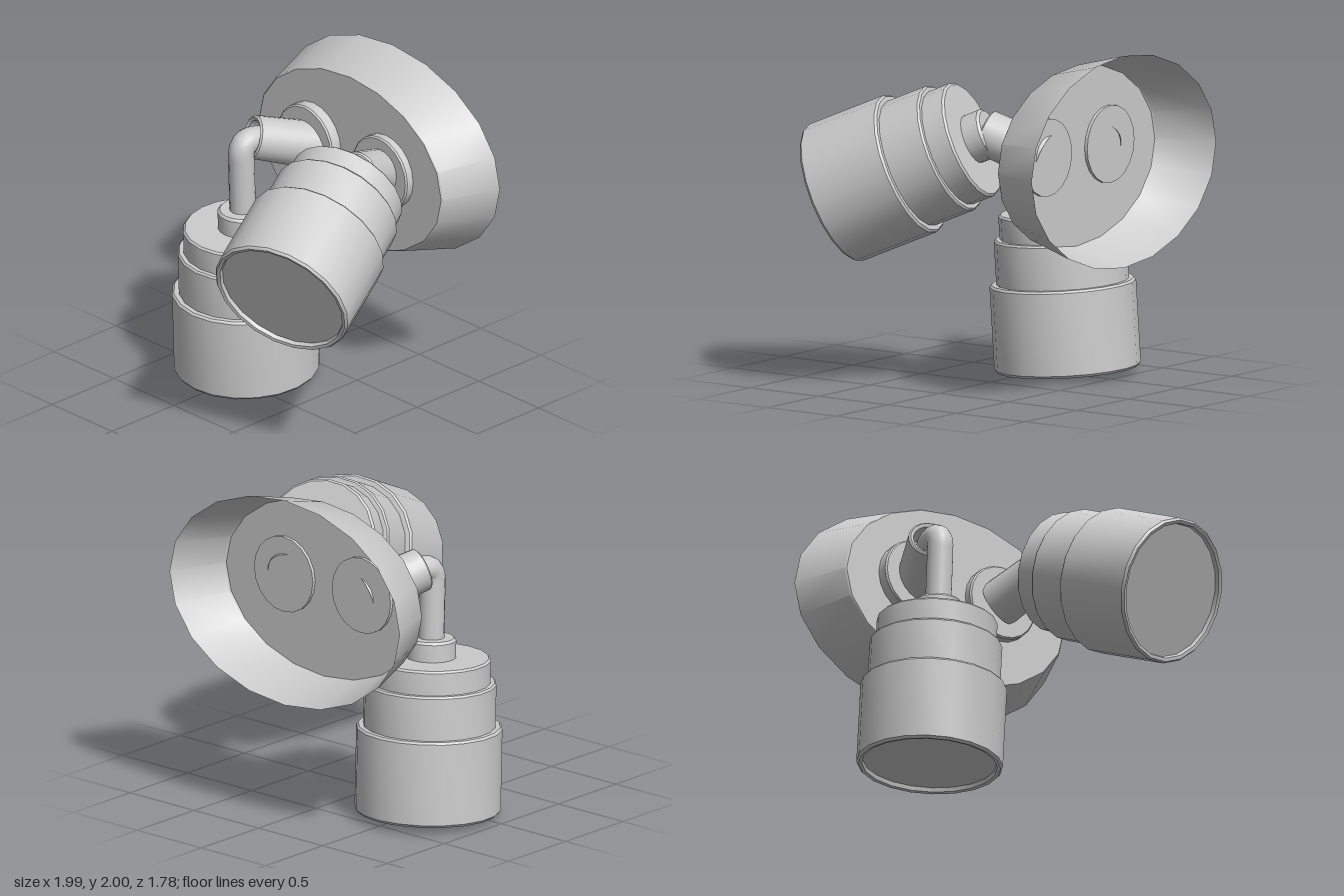
import * as THREE from 'three';
import { toCreasedNormals } from 'three/addons/utils/BufferGeometryUtils.js';

const SIDES = 20;
const grey = new THREE.MeshStandardMaterial({ color: 0xcccccc, side: THREE.DoubleSide });
const vec = (a) => new THREE.Vector3(...a);

function addMesh(parent, name, geometry) {
  const mesh = new THREE.Mesh(geometry, grey);
  mesh.name = name;
  parent.add(mesh);
  return mesh;
}

// Turned part from [radius, height] pairs, listed bottom to top
function turned(profile, sides = SIDES) {
  const points = profile.map(([r, y]) => new THREE.Vector2(r, y));
  return toCreasedNormals(new THREE.LatheGeometry(points, sides), 0.6);
}

// Put an object's origin at a point and aim its +y axis along a direction
function aim(object, position, direction) {
  object.position.copy(vec(position));
  object.quaternion.setFromUnitVectors(new THREE.Vector3(0, 1, 0), vec(direction).normalize());
}

// Stepped lamp head: origin at the front rim, +y toward the neck
function makeLamp(name) {
  const lamp = new THREE.Group();
  lamp.name = name;
  addMesh(lamp, 'lens', turned([[0, 0.03], [0.39, 0.03]]));
  addMesh(lamp, 'housing', turned([
    [0.39, 0.03], [0.395, 0.005], [0.415, 0], [0.427, 0.015],
    [0.427, 0.5], [0.415, 0.513], [0.387, 0.513],
    [0.387, 0.765], [0.377, 0.777], [0.352, 0.777],
    [0.352, 0.91], [0.34, 0.922], [0, 0.922],
  ]));
  addMesh(lamp, 'neck', turned([[0.147, 0.91], [0.147, 1.025], [0.133, 1.04], [0, 1.04]]));
  return lamp;
}

// Straight arm between two points; an open end gets a hollow lip
function addArm(parent, name, from, to, r0, r1, open) {
  const dir = vec(to).sub(vec(from));
  const len = dir.length();
  const profile = [[r0, 0], [r1, len - 0.01]];
  if (open) profile.push([r1 - 0.012, len], [r1 - 0.03, len - 0.01], [r1 - 0.035, len - 0.12], [0, len - 0.12]);
  else profile.push([r1 - 0.01, len], [0, len]);
  aim(addMesh(parent, name, turned(profile)), from, dir.toArray());
}

export function createModel() {
  const model = new THREE.Group();
  model.name = 'twinSpotlight';

  // Oval wall plate, flared and open at the back
  const plate = turned([[1, 0], [0.86, 0.337], [0.85, 0.345], [0, 0.345]]);
  plate.rotateX(Math.PI / 2).scale(0.895, 0.625, 1);
  addMesh(model, 'wallPlate', toCreasedNormals(plate, 0.6)).position.set(-0.105, 1.373, -0.89);

  // Round mounts, reaching slightly through the plate
  for (const [name, x, front] of [['rightMount', -0.412, -0.47], ['leftMount', 0.193, -0.49]]) {
    const depth = front + 0.565;
    const mount = turned([[0, 0], [0.229, 0], [0.229, depth - 0.01], [0.22, depth], [0, depth]]);
    aim(addMesh(model, name, mount), [x, 1.405, -0.565], [0, 0, 1]);
  }

  // Lamp pointing forward and down, joined straight to its arm
  const leftLamp = makeLamp('leftLamp');
  aim(leftLamp, [0.59, 1.125, 0.69], [-0.288, 0.393, -0.873]);
  model.add(leftLamp);
  addArm(model, 'leftArm', [0.18, 1.4, -0.52], [0.3, 1.535, -0.185], 0.14, 0.135, false);

  // Lamp hanging down from a rod that bends into a hollow arm
  const rightLamp = makeLamp('rightLamp');
  aim(rightLamp, [-0.555, 0.025, -0.145], [0.022, 1, 0.055]);
  model.add(rightLamp);
  addArm(model, 'rightArm', [-0.38, 1.385, -0.51], [-0.535, 1.5, -0.165], 0.14, 0.128, true);
  const bend = new THREE.CurvePath();
  const low = vec([-0.532, 1.04, -0.089]), elbow = vec([-0.528, 1.4, -0.073]);
  const inner = vec([-0.515, 1.48, -0.2]), end = vec([-0.49, 1.462, -0.26]);
  bend.add(new THREE.LineCurve3(low, elbow));
  bend.add(new THREE.CubicBezierCurve3(elbow, vec([-0.527, 1.48, -0.07]), vec([-0.53, 1.51, -0.11]), inner));
  bend.add(new THREE.LineCurve3(inner, end));
  addMesh(model, 'rightRod', new THREE.TubeGeometry(bend, 28, 0.077, 16));

  return model;
}
